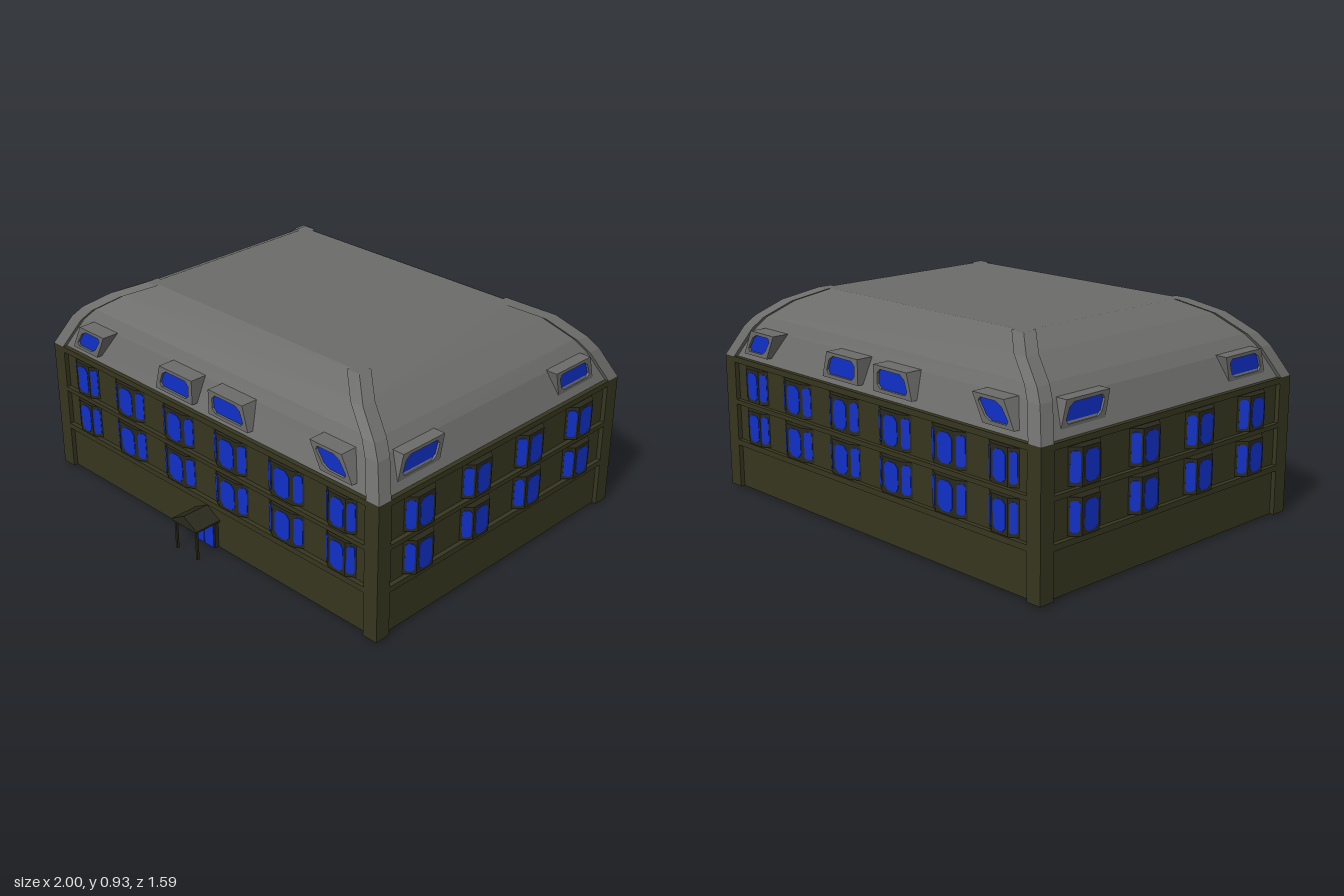
import * as THREE from 'three';

const HX = 0.98, HZ = 0.74, CZ = -0.05;   // half footprint and its centre in z
const BASE = 0.01, EAVE = 0.61, RECESS = 0.02;
const mat = (color) => new THREE.MeshStandardMaterial({ color, flatShading: true, side: THREE.DoubleSide });
const wallMat = mat(0x36361f), frameMat = mat(0x28281a), roofMat = mat(0x6b6b69), glassMat = mat(0x1030c8);

function add(parent, name, geometry, material, x = 0, y = 0, z = 0) {
  const m = new THREE.Mesh(geometry, material);
  m.name = name;
  m.position.set(x, y, z);
  parent.add(m);
  return m;
}

// Box given by its limits
function slab(parent, name, material, x0, x1, y0, y1, z0, z1) {
  return add(parent, name, new THREE.BoxGeometry(x1 - x0, y1 - y0, z1 - z0), material,
    (x0 + x1) / 2, (y0 + y1) / 2, (z0 + z1) / 2);
}

// Polygon with its corners cut off by c
function chamfer(points, c) {
  const out = [];
  points.forEach((p, i) => {
    const n = points.length;
    for (const q of [points[(i + n - 1) % n], points[(i + 1) % n]]) {
      out.push(p.clone().add(q.clone().sub(p).setLength(c)));
    }
  });
  return out;
}
const vecs = (list) => list.map(([x, y]) => new THREE.Vector2(x, y));

// Extrusion whose front is at z = 0 and which runs back by depth
function plate(points, depth, hole) {
  const s = new THREE.Shape(points);
  if (hole) s.holes.push(new THREE.Path(hole));
  return new THREE.ExtrudeGeometry(s, { depth, bevelEnabled: false }).translate(0, 0, -depth);
}

// Skin between closed cross-sections of equal point count
function loft(sections) {
  const v = [];
  for (let s = 0; s < sections.length - 1; s++) {
    const a = sections[s], b = sections[s + 1], n = a.length;
    for (let i = 0; i < n; i++) {
      const j = (i + 1) % n;
      v.push(...a[i], ...a[j], ...b[j], ...a[i], ...b[j], ...b[i]);
    }
  }
  const g = new THREE.BufferGeometry();
  g.setAttribute('position', new THREE.Float32BufferAttribute(v, 3));
  g.computeVertexNormals();
  return g;
}

// Shallow bay window: a front pane and two canted side panes
function bay(parent, x, y0, y1, w, f, d) {
  const g = new THREE.Group();
  g.name = 'bayWindow';
  g.position.set(x, (y0 + y1) / 2, -RECESS);
  parent.add(g);
  const h = y1 - y0;
  const plan = vecs([[-w, 0], [w, 0], [f, -d], [-f, -d]]);
  add(g, 'windowFrame', plate(plan, h).rotateX(-Math.PI / 2), frameMat, 0, h / 2, 0);
  const pane = (width) => {
    const a = width / 2, b = h / 2 - 0.014;
    return plate(chamfer(vecs([[-a, -b], [a, -b], [a, b], [-a, b]]), width * 0.24), d + 0.03);
  };
  add(g, 'frontPane', pane(f * 1.5), glassMat, 0, 0, d + 0.002);
  for (const s of [-1, 1]) {
    const angle = s * Math.atan2(d, w - f);
    const p = add(g, 'sidePane', pane(Math.hypot(w - f, d) * 0.72), glassMat,
      s * (w + f) / 2 + Math.sin(angle) * 0.002, 0, d / 2 + 0.002);
    p.rotation.y = angle;
  }
}

// Leaning roof window; bottom and top are [inner, outer] distances from the middle
function dormer(parent, side, bottom, top, z) {
  const quad = (i, y0, y1) => vecs([
    [side * (bottom[0] + i), y0], [side * (bottom[1] - i), y0],
    [side * (top[1] - i), y1], [side * (top[0] + i), y1]]);
  const g = new THREE.Group();
  g.name = 'dormer';
  g.position.z = z;
  parent.add(g);
  const glass = chamfer(quad(0.022, 0.652, 0.731), 0.018);
  add(g, 'dormerFrame', plate(quad(0, 0.637, 0.745), 0.085, glass), roofMat);
  add(g, 'dormerGlass', plate(glass, 0.085), glassMat, 0, 0, -0.01);
}

// One wall in its own frame: x along the wall, +z outward, outer face at z = 0
function wall(name, half, windows, bayDepth, dormers, dormerZ) {
  const g = new THREE.Group();
  g.name = name;
  const inner = half - 0.07;
  slab(g, 'wallPanel', wallMat, -half + 0.02, half - 0.02, BASE, EAVE, -RECESS - 0.006, -RECESS);
  for (const s of [-1, 1]) {
    const a = s * inner, b = s * half;
    slab(g, 'cornerPilaster', wallMat, Math.min(a, b), Math.max(a, b), BASE, EAVE, -RECESS, 0);
  }
  for (const [y0, y1] of [[0.205, 0.23], [0.395, 0.415], [0.585, EAVE]]) {
    slab(g, 'floorBand', wallMat, -inner, inner, y0, y1, -RECESS, 0);
  }
  slab(g, 'eave', wallMat, -half + 0.01, half - 0.01, EAVE - 0.01, EAVE, -0.045, -0.002);
  for (const y of [0.235, 0.425]) {
    for (const [x, w, f] of windows) {
      for (const s of [-1, 1]) bay(g, s * x, y, y + 0.15, w, f, bayDepth);
    }
  }
  for (const [bottom, top] of dormers) {
    for (const s of [-1, 1]) dormer(g, s, bottom, top, dormerZ);
  }
  return g;
}

// Curved hipped roof with raised strips along the hips
function roof() {
  const g = new THREE.Group();
  g.name = 'roof';
  g.position.z = CZ;
  // height, inset in x, inset in z
  const levels = [[EAVE, 0, 0], [0.74, 0.065, 0.06], [0.79, 0.11, 0.09], [0.87, 0.23, 0.155], [0.925, 0.35, 0.26]];
  const e = 0.02;
  const rings = levels.map(([y, ix, iz]) => {
    const x = HX - ix - e, z = HZ - iz - e;
    return [[x, y, z], [x, y, -z], [-x, y, -z], [-x, y, z]];
  });
  rings.push(rings[0].map(() => [0, 0.925, 0]));
  add(g, 'roofShell', loft(rings), roofMat);

  const w = 0.065, k = 0.03;
  for (const sx of [-1, 1]) for (const sz of [-1, 1]) {
    const sections = levels.map(([y, ix, iz]) => {
      const X = HX - ix, Z = HZ - iz;
      const pts = [[X - w, Z], [X, Z], [X, Z - w], [X - k, Z - w], [X - k, Z - k], [X - w, Z - k]]
        .map(([x, z]) => [sx * x, y, sz * z]);
      return sx * sz > 0 ? pts : pts.reverse();
    });
    const end = sections[sections.length - 1];
    sections.push(end.map(() => [sx * (HX - 0.35 - k), 0.925, sz * (HZ - 0.26 - k)]));
    add(g, 'hipStrip', loft(sections), roofMat);
  }
  return g;
}

// Entrance with double door and gabled canopy on two posts
function porch() {
  const g = new THREE.Group();
  g.name = 'porch';
  slab(g, 'doorFrame', frameMat, -0.066, 0.066, BASE, 0.145, 0.655, 0.688);
  for (const s of [-1, 1]) {
    const a = s * 0.002, b = s * 0.058;
    slab(g, 'doorLeaf', glassMat, Math.min(a, b), Math.max(a, b), BASE, 0.138, 0.65, 0.692);
    slab(g, 'porchPost', frameMat, s * 0.064 - 0.005, s * 0.064 + 0.005, 0, 0.14, 0.78, 0.79);
  }
  const gable = vecs([[-0.077, 0.135], [0.077, 0.135], [0.077, 0.143], [0, 0.185], [-0.077, 0.143]]);
  add(g, 'porchCanopy', plate(gable, 0.14), frameMat, 0, 0, 0.797);
  return g;
}

export function createModel() {
  const model = new THREE.Group();
  model.name = 'building';
  const longBays = [[0.16, 0.1, 0.055], [0.477, 0.1, 0.055], [0.773, 0.08, 0.043]];
  const shortBays = [[0.164, 0.085, 0.048], [0.496, 0.085, 0.048]];
  const longDormers = [[[0.05, 0.28], [0.05, 0.25]], [[0.675, 0.84], [0.62, 0.785]]];
  const shortDormers = [[[0.37, 0.605], [0.345, 0.575]]];
  for (const s of [1, -1]) {
    const long = wall(s > 0 ? 'frontWall' : 'backWall', HX, longBays, 0.024, longDormers, -0.006);
    long.position.z = CZ + s * HZ;
    long.rotation.y = s > 0 ? 0 : Math.PI;
    const short = wall(s > 0 ? 'leftWall' : 'rightWall', HZ, shortBays, 0.038, shortDormers, -0.035);
    short.position.set(s * HX, 0, CZ);
    short.rotation.y = s * Math.PI / 2;
    model.add(long, short);
  }
  model.add(roof(), porch());
  return model;
}
